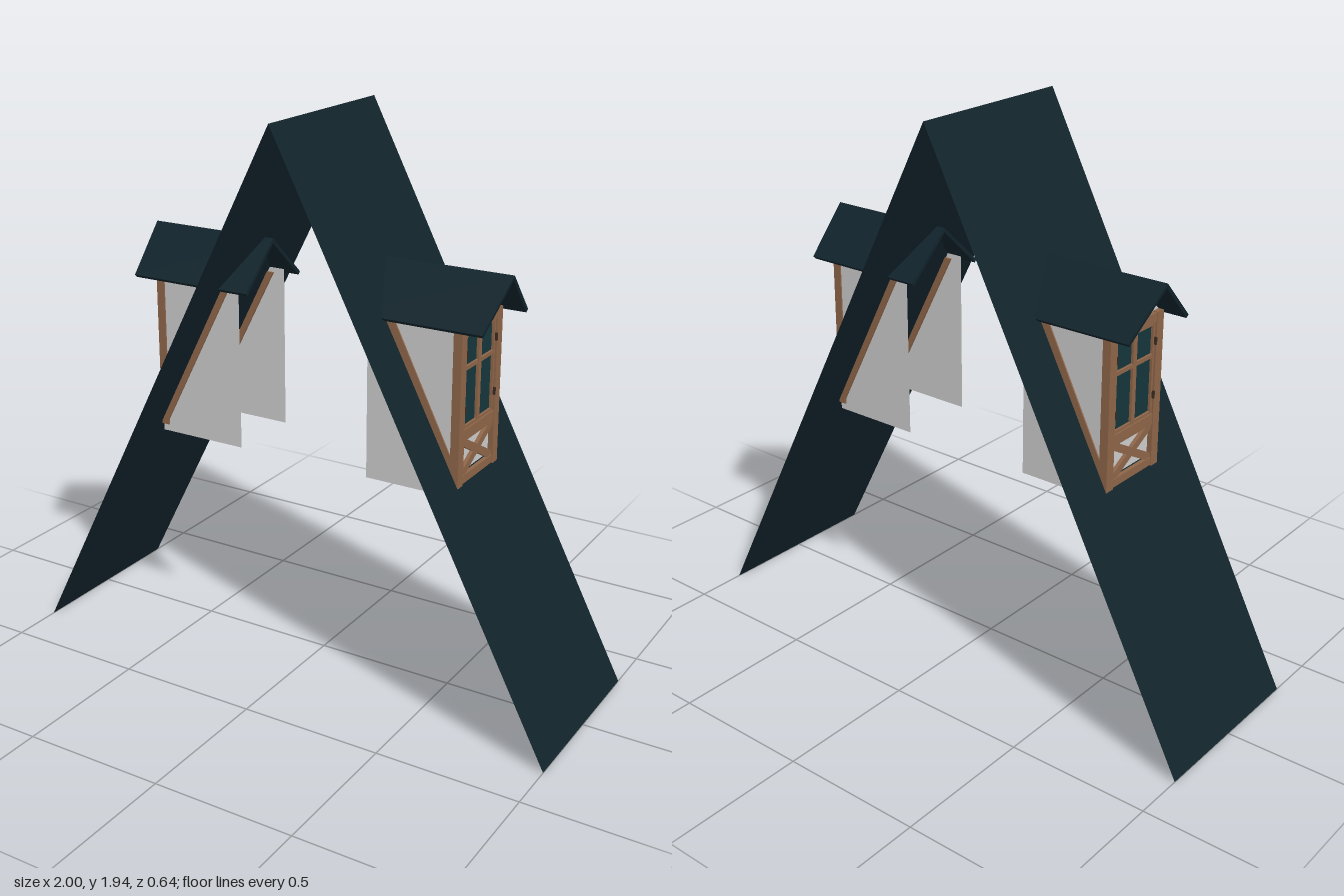
import * as THREE from 'three';

const mat = (color) => new THREE.MeshStandardMaterial({ color, side: THREE.DoubleSide });
const slate = mat(0x11232b), plaster = mat(0xcccccc), wood = mat(0x8e6549), glass = mat(0x15363c), iron = mat(0x3a2c22);

function add(parent, name, geometry, material) {
  const mesh = new THREE.Mesh(geometry, material);
  mesh.name = name;
  parent.add(mesh);
  return mesh;
}

const outline = (points) => new THREE.Shape(points.map(([a, b]) => new THREE.Vector2(a, b)));

// Box given by its limits on each axis
function block(parent, name, material, [x0, x1], [y0, y1], [z0, z1]) {
  const mesh = add(parent, name, new THREE.BoxGeometry(x1 - x0, y1 - y0, z1 - z0), material);
  mesh.position.set((x0 + x1) / 2, (y0 + y1) / 2, (z0 + z1) / 2);
  return mesh;
}

// One dormer, facing +x
function createDormer() {
  const dormer = new THREE.Group();
  const depth = [0.555, 0.585];

  // Gabled roof: a thin chevron whose front edge leans out towards the ridge
  const chevron = outline([[-0.167, 1.335], [0, 1.488], [0.167, 1.335], [0.158, 1.325], [0, 1.472], [-0.158, 1.325]]);
  const roof = new THREE.ExtrudeGeometry(chevron, { depth: 1, bevelEnabled: false });
  roof.rotateY(Math.PI / 2);
  const p = roof.attributes.position;
  for (let i = 0; i < p.count; i++) {
    const front = 0.66 + 0.025 * (p.getY(i) - 1.325) / 0.163;
    p.setX(i, p.getX(i) > 0.5 ? front : 0.2);
  }
  roof.computeVertexNormals();
  add(dormer, 'dormerRoof', roof, slate);

  // Plaster front with its gable
  const face = new THREE.ShapeGeometry(outline([[-0.14, 0.81], [0.14, 0.81], [0.14, 1.345], [0, 1.476], [-0.14, 1.345]]));
  face.rotateY(Math.PI / 2);
  add(dormer, 'frontWall', face, plaster).position.x = 0.567;

  // Side walls, corner posts and the trim that follows the main roof
  const trim = outline([[0.29, 1.325], [0.348, 1.325], [0.56, 0.9], [0.56, 0.805]]);
  for (const s of [-1, 1]) {
    const wall = add(dormer, 'sideWall', new THREE.PlaneGeometry(0.332, 0.58), plaster);
    wall.position.set(0.414, 1.06, s * 0.14);
    if (s < 0) wall.rotation.y = Math.PI;
    block(dormer, 'cornerPost', wood, depth, [0.795, 1.342], s > 0 ? [0.108, 0.145] : [-0.145, -0.108]);
    const trimGeometry = new THREE.ExtrudeGeometry(trim, { depth: 0.012, bevelEnabled: false });
    add(dormer, 'sideTrim', trimGeometry, wood).position.z = s * 0.139 - 0.006;
  }

  // Horizontal beams
  for (const y of [[0.805, 0.836], [0.954, 0.992], [1.308, 1.34]]) {
    block(dormer, 'crossBeam', wood, [0.556, 0.583], y, [-0.11, 0.11]);
  }

  // Crossed braces below the window
  for (const s of [-1, 1]) {
    const brace = add(dormer, 'crossBrace', new THREE.BoxGeometry(0.02, 0.027, 0.25), wood);
    brace.position.set(0.57, 0.895, 0);
    brace.rotation.x = s * Math.atan2(0.118, 0.214);
  }

  // Window: panes, casing and glazing bars
  block(dormer, 'windowGlass', glass, [0.565, 0.57], [0.992, 1.308], [-0.108, 0.108]);
  const bars = [[0.992, 1.002], [1.188, 1.202], [1.298, 1.308]];
  for (const y of bars) block(dormer, 'windowBar', wood, [0.564, 0.578], y, [-0.108, 0.108]);
  for (const z of [[-0.108, -0.098], [-0.01, 0.01], [0.098, 0.108]]) {
    block(dormer, 'windowStile', wood, [0.564, 0.579], [0.992, 1.308], z);
  }
  for (const y of [1.06, 1.245]) {
    for (const z of [-0.107, 0.107]) {
      block(dormer, 'hinge', iron, [0.578, 0.587], [y - 0.013, y + 0.013], [z - 0.003, z + 0.003]);
    }
  }
  return dormer;
}

export function createModel() {
  const model = new THREE.Group();
  model.name = 'roofWithDormers';
  const height = 1.938;

  for (const [side, turn] of [['left', 0], ['right', Math.PI]]) {
    const half = new THREE.Group();
    half.name = side + 'Half';
    half.rotation.y = turn;

    // Main roof slope
    const slope = new THREE.PlaneGeometry(Math.hypot(1, height), 0.645);
    slope.rotateX(-Math.PI / 2);
    slope.rotateZ(-Math.atan2(height, 1));
    slope.translate(0.5, height / 2, 0);
    add(half, 'mainRoofSlope', slope, slate);

    const dormer = createDormer();
    dormer.name = side + 'Dormer';
    half.add(dormer);
    model.add(half);
  }
  return model;
}
